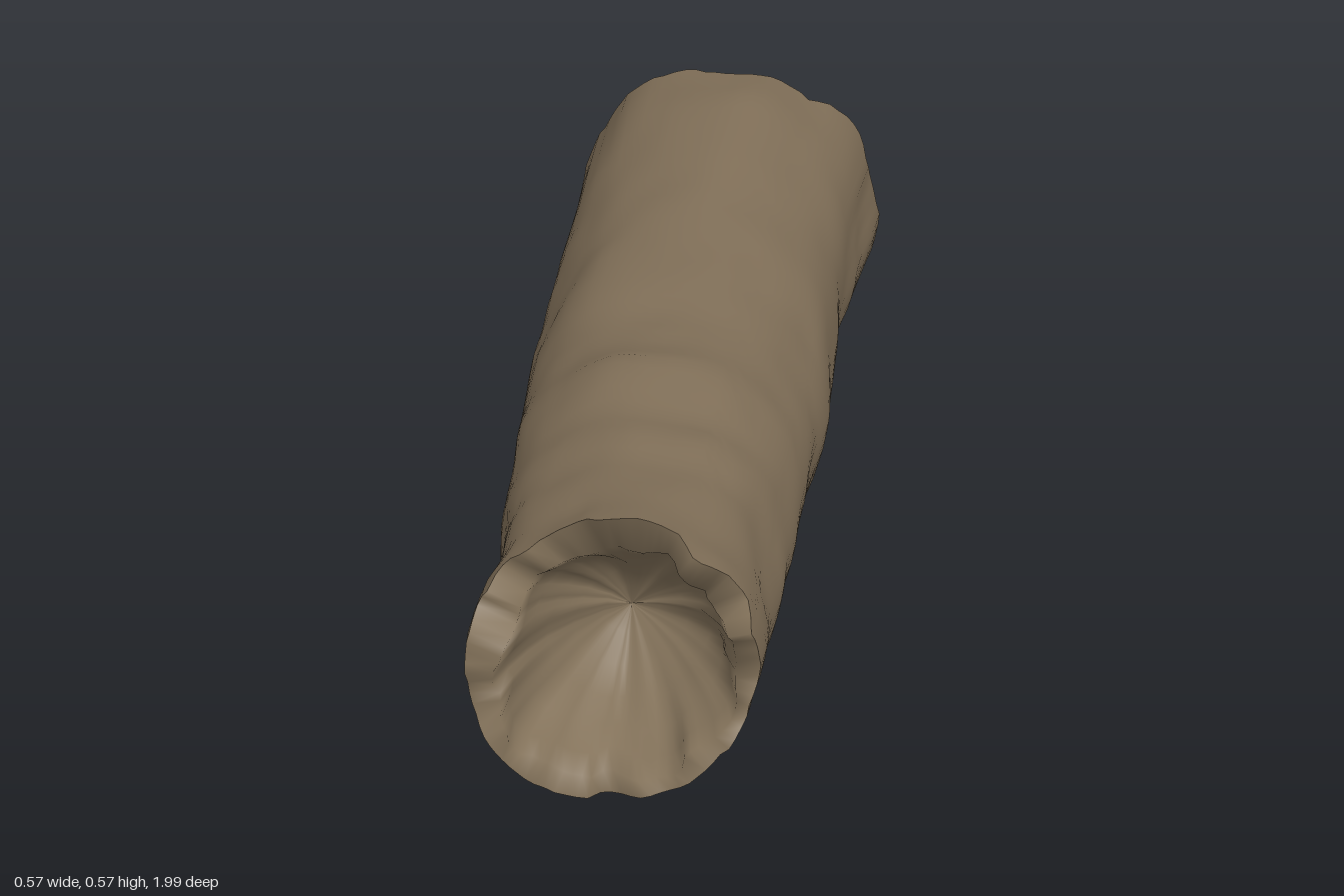
import * as THREE from 'three';

const SEG = 84;

// Piecewise-linear lookup: rows [key, ...values] sorted by key
function lookup(rows, k) {
  let i = 1;
  while (i < rows.length - 1 && rows[i][0] < k) i++;
  const a = rows[i - 1], b = rows[i];
  const t = THREE.MathUtils.clamp((k - a[0]) / (b[0] - a[0]), 0, 1);
  return a.slice(1).map((v, n) => v + (b[n + 1] - v) * t);
}

// Log outline along z: [z, xMin, xMax, yMin, yMax]
const OUTLINE = [
  [-1, -0.26, 0.285, 0.008, 0.57], [-0.85, -0.26, 0.275, 0.003, 0.575],
  [-0.6, -0.268, 0.258, 0.006, 0.548], [-0.3, -0.28, 0.27, 0.014, 0.53],
  [-0.1, -0.285, 0.27, 0.022, 0.512], [0.02, -0.285, 0.27, 0.024, 0.518],
  [0.12, -0.282, 0.268, 0.027, 0.54], [0.3, -0.278, 0.264, 0.03, 0.518],
  [0.4, -0.275, 0.26, 0.032, 0.533], [0.5, -0.27, 0.253, 0.034, 0.518],
  [0.7, -0.265, 0.25, 0.04, 0.54], [0.83, -0.278, 0.253, 0.044, 0.57], [1, -0.282, 0.245, 0.054, 0.575],
];

// Broken rims: [degrees round the log, z]
const FRONT_RIM = [
  [0, 0.9], [12, 0.92], [18, 0.92], [23, 0.86], [40, 0.86], [50, 0.88], [58, 0.87], [63, 0.82],
  [90, 0.83], [110, 0.82], [128, 0.85], [145, 0.86], [150, 0.9], [160, 0.9], [164, 0.93],
  [185, 0.94], [205, 0.97], [215, 0.995], [235, 0.98], [250, 0.95], [262, 0.94], [266, 0.92], [276, 0.92],
  [281, 0.95], [310, 0.96], [330, 0.94], [345, 0.9], [360, 0.9],
];
const BACK_RIM = [
  [0, -1], [20, -0.985], [32, -1], [50, -0.99], [56, -0.965], [75, -0.975], [90, -0.96], [108, -0.975],
  [125, -0.97], [130, -0.995], [155, -0.99], [165, -0.975], [185, -0.99], [215, -0.98], [222, -0.965],
  [250, -0.97], [270, -0.955], [290, -0.965], [315, -0.985], [340, -0.98], [360, -1],
];

// Inner edge of the broken wall: [degrees, share of the radius, reach past the rim]
const FRONT_LIP = [
  [0, 0.86, 0], [30, 0.82, 0], [60, 0.78, 0], [80, 0.7, -0.03], [120, 0.68, -0.03], [150, 0.74, 0],
  [170, 0.78, 0.05], [195, 0.8, 0.03], [215, 0.84, 0], [300, 0.88, 0], [360, 0.86, 0],
];
const BACK_LIP = [[0, 0.88, 0], [60, 0.85, 0], [130, 0.88, 0], [200, 0.84, 0], [290, 0.9, 0], [360, 0.88, 0]];

const hash = (n) => { const s = Math.sin(n * 127.1) * 43758.5453; return s - Math.floor(s) - 0.5; };

// Facet-like dents: random lattice over angle and length, blended linearly
function dents(a, z, around, along) {
  const u = (a / (Math.PI * 2)) * around, v = (z + 1.5) * along + 0.5 * Math.sin(2 * a);
  const i = Math.floor(u), k = Math.floor(v);
  const at = (p, q) => hash((p % around) + q * 57);
  const { lerp } = THREE.MathUtils;
  return lerp(lerp(at(i, k), at(i + 1, k), u - i), lerp(at(i, k + 1), at(i + 1, k + 1), u - i), v - k);
}

// Bark as a factor on the radius: underside bulge, ridges, dents and splits towards the ends
function bark(j, a, z) {
  const split = THREE.MathUtils.smoothstep(Math.abs(z), 0.6, 0.95);
  return 0.99 + 0.035 * Math.max(0, Math.cos(a - 4.25)) ** 6
    + 0.01 * Math.sin(7 * a + 2.5 * Math.sin(2 * z)) + 0.008 * Math.sin(5 * a - 9 * z + 1)
    + 0.05 * dents(a, z, 13, 6) + 0.03 * dents(a, z, 23, 11)
    + 0.03 * split * hash(Math.floor(j / 4) + (z > 0 ? 5 : 40));
}

function place(a, z, scale) {
  const [x0, x1, y0, y1] = lookup(OUTLINE, z);
  return [(x0 + x1) / 2 + Math.cos(a) * (x1 - x0) / 2 * scale,
    (y0 + y1) / 2 + Math.sin(a) * (y1 - y0) / 2 * scale, z];
}

// Closed rings of SEG points joined in order
function skin(rings, point) {
  const pos = [], index = [];
  for (let i = 0; i < rings; i++) {
    for (let j = 0; j < SEG; j++) pos.push(...point(i, j, (j / SEG) * Math.PI * 2));
  }
  for (let i = 0; i < rings - 1; i++) {
    for (let j = 0; j < SEG; j++) {
      const k = (j + 1) % SEG;
      const a = i * SEG + j, b = i * SEG + k, c = a + SEG, d = b + SEG;
      index.push(a, b, c, b, d, c);
    }
  }
  const g = new THREE.BufferGeometry();
  g.setAttribute('position', new THREE.Float32BufferAttribute(pos, 3));
  g.setIndex(index);
  g.computeVertexNormals();
  return g;
}

export function createModel() {
  const group = new THREE.Group();
  group.name = 'hollowLog';
  const add = (name, geometry, color) => {
    const material = new THREE.MeshStandardMaterial({ color, side: THREE.DoubleSide });
    const mesh = new THREE.Mesh(geometry, material);
    mesh.name = name;
    group.add(mesh);
  };
  // Rim position with small splinters, kept within the log's length
  const rimZ = (table, j) => THREE.MathUtils.clamp(
    lookup(table, (j / SEG) * 360)[0] + 0.02 * hash(Math.floor(j / 2) + 9), -1, 1);

  // Bark from the back rim to the front rim
  const N = 48;
  add('bark', skin(N + 1, (i, j, a) => {
    const z = THREE.MathUtils.lerp(rimZ(BACK_RIM, j), rimZ(FRONT_RIM, j), i / N);
    return place(a, z, bark(j, a, z));
  }), 0x7f6e57);

  // Hollow ends: broken wall edge, then a rough shallow funnel closing inside the log
  // [share of the lip radius, share of the depth]
  const FUNNEL = [[1, 0.03], [0.94, 0.22], [0.84, 0.42], [0.68, 0.62], [0.47, 0.8], [0.23, 0.93], [0, 1]];
  const hollow = (rimTable, lipTable, apex) => (i, j, a) => {
    const rim = rimZ(rimTable, j);
    if (i === 0) return place(a, rim, bark(j, a, rim));
    const [lip, reach] = lookup(lipTable, (j / SEG) * 360);
    const [r, t] = FUNNEL[i - 1];
    const z = THREE.MathUtils.lerp(rim + reach, apex, t);
    const rough = 0.16 * dents(a, z, 15, 9) + 0.06 * hash(Math.floor(j / 3) + 70) * (1 - t);
    return place(a, z, r * (lip + rough));
  };
  const rings = FUNNEL.length + 1;
  add('frontHollow', skin(rings, hollow(FRONT_RIM, FRONT_LIP, 0.62)), 0x83725a);
  const back = hollow(BACK_RIM, BACK_LIP, -0.74);
  add('backHollow', skin(rings, (i, j, a) => back(rings - 1 - i, j, a)), 0x83725a);

  return group;
}
